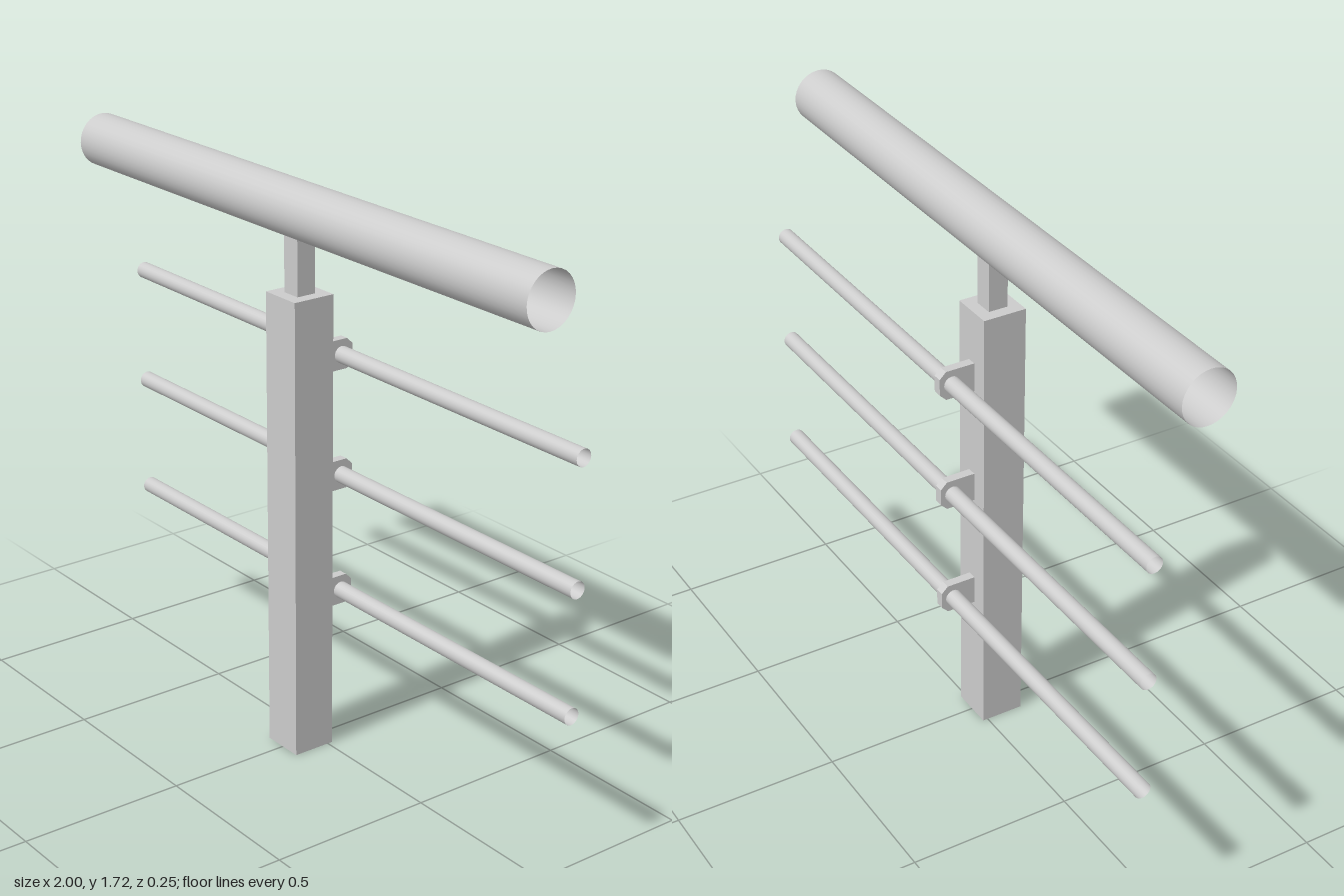
import * as THREE from 'three';

const mat = new THREE.MeshStandardMaterial({ color: 0xcccccc, side: THREE.DoubleSide });

function add(parent, name, geometry, x, y, z) {
  const mesh = new THREE.Mesh(geometry, mat);
  mesh.name = name;
  mesh.position.set(x, y, z);
  parent.add(mesh);
  return mesh;
}

// Open-ended round tube lying along x
function tubeX(radius, length, sides) {
  return new THREE.CylinderGeometry(radius, radius, length, sides, 1, true).rotateZ(Math.PI / 2);
}

// Square hollow section standing on y = 0, open at both ends
function squareTube(width, height, depth) {
  const g = new THREE.BoxGeometry(width, height, depth).translate(0, height / 2, 0);
  const index = Array.from(g.index.array);
  index.splice(12, 12); // remove the top and bottom faces
  g.setIndex(index);
  return g;
}

// Upright plate with chamfered outer corners, reaching from the post past the rail
function bracketGeometry() {
  const back = 0.111, h = 0.045, c = 0.02, thick = 0.028;
  const s = new THREE.Shape();
  s.moveTo(0, -h);
  s.lineTo(back - c, -h);
  s.lineTo(back, -h + c);
  s.lineTo(back, h - c);
  s.lineTo(back - c, h);
  s.lineTo(0, h);
  s.closePath();
  return new THREE.ExtrudeGeometry(s, { depth: thick, bevelEnabled: false })
    .translate(0, 0, -thick / 2)
    .rotateY(Math.PI / 2); // shape x now points to -z
}

export function createModel() {
  const model = new THREE.Group();
  model.name = 'railing';
  const postZ = 0.051, postBack = -0.015, railZ = -0.087;

  // Post with a closed top
  add(model, 'post', squareTube(0.133, 1.4, 0.133), 0, 0, postZ);
  add(model, 'postCap', new THREE.PlaneGeometry(0.133, 0.133).rotateX(-Math.PI / 2), 0, 1.4, postZ);

  // Stub and handrail
  add(model, 'handrailStub', squareTube(0.06, 0.185, 0.06), 0, 1.4, postZ);
  add(model, 'handrail', tubeX(0.08, 2, 32), 0, 1.635, 0.047);

  // Lower rails, each held by a bracket behind the post
  const bracket = bracketGeometry();
  const rail = tubeX(0.025, 2, 24);
  for (const y of [0.463, 0.829, 1.195]) {
    const row = new THREE.Group();
    row.name = 'railRow';
    row.position.y = y;
    add(row, 'rail', rail, 0, 0, railZ);
    add(row, 'bracket', bracket, 0, 0, postBack);
    model.add(row);
  }
  return model;
}
